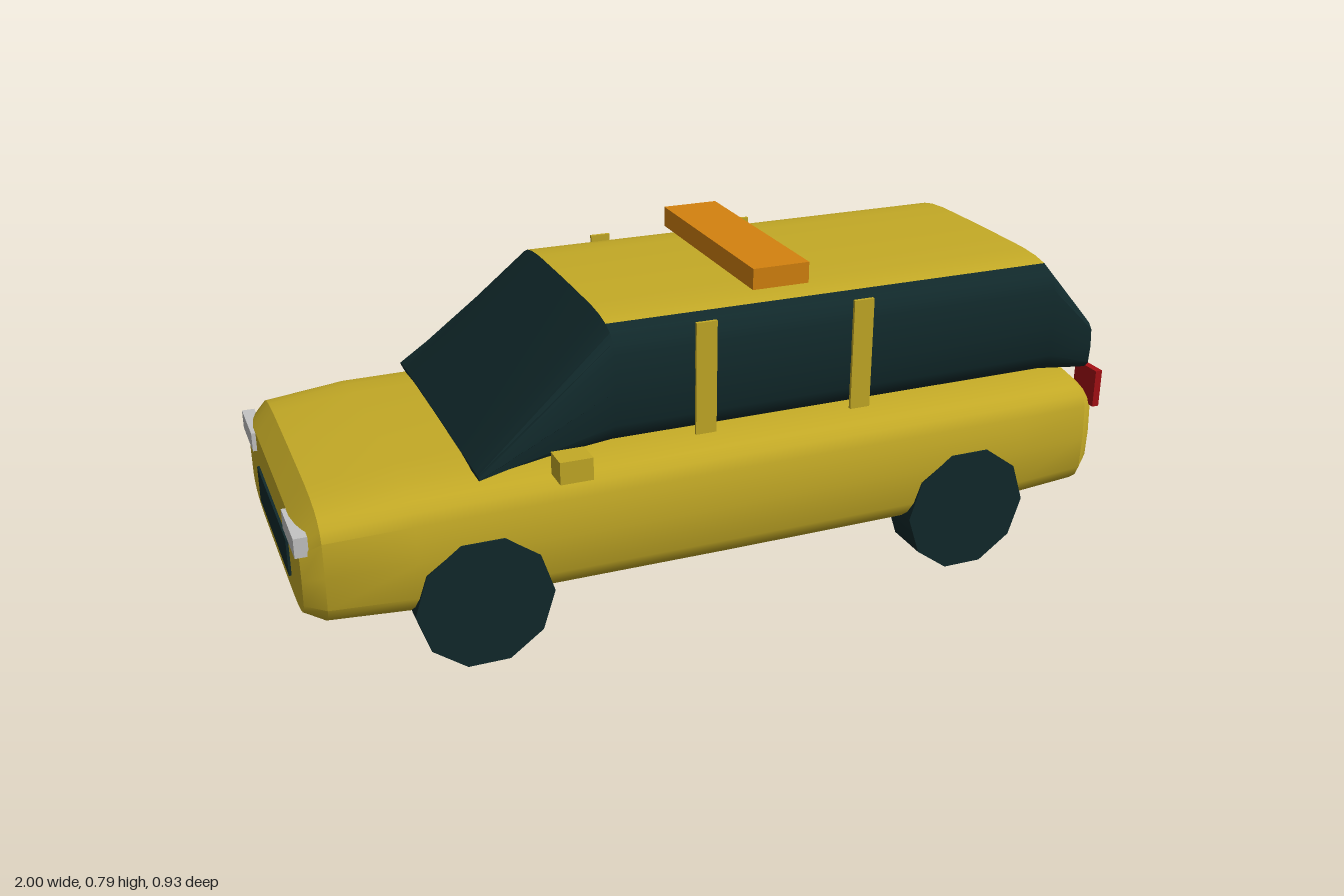
import * as THREE from 'three';
import { toCreasedNormals } from 'three/addons/utils/BufferGeometryUtils.js';

const SEGMENTS = 28;

// Skins rounded-box sections [x, halfWidth, bottom, top] along x.
// Faces for which inSecond(row, column) is true go to the second material.
function loft(sections, inSecond = () => false) {
  const positions = [];
  const groups = [[], []];
  const squash = (v) => Math.sign(v) * Math.abs(v) ** 0.4;
  for (const [x, w, y0, y1] of sections) {
    for (let j = 0; j < SEGMENTS; j++) {
      const t = (j / SEGMENTS) * Math.PI * 2;
      positions.push(x, (y0 + y1) / 2 + squash(Math.sin(t)) * (y1 - y0) / 2, squash(Math.cos(t)) * w);
    }
  }
  const last = sections.length - 1;
  const startCentre = positions.length / 3;
  for (const [x, , y0, y1] of [sections[0], sections[last]]) positions.push(x, (y0 + y1) / 2, 0);
  for (let j = 0; j < SEGMENTS; j++) {
    const k = (j + 1) % SEGMENTS;
    for (let i = 0; i < last; i++) {
      const a = i * SEGMENTS, b = a + SEGMENTS;
      groups[inSecond(i, j) ? 1 : 0].push(a + j, b + j, b + k, a + j, b + k, a + k);
    }
    const e = last * SEGMENTS;
    groups[0].push(startCentre, j, k, startCentre + 1, e + k, e + j);
  }
  const geometry = new THREE.BufferGeometry();
  geometry.setAttribute('position', new THREE.Float32BufferAttribute(positions, 3));
  geometry.setIndex([...groups[0], ...groups[1]]);
  geometry.addGroup(0, groups[0].length, 0);
  geometry.addGroup(groups[0].length, groups[1].length, 1);
  return toCreasedNormals(geometry, 0.55);
}

export function createModel() {
  const car = new THREE.Group();
  car.name = 'car';

  const material = (name, color) => {
    const m = new THREE.MeshStandardMaterial({ color });
    m.name = name;
    return m;
  };
  const yellow = material('yellow paint', 0xc4aa26);
  const dark = material('dark glass and rubber', 0x11292b);
  const orange = material('orange lamp', 0xd4820f);
  const red = material('red lamp', 0xa61014);
  const silver = material('silver lamp', 0xc4c4c4);

  const add = (name, geometry, mat) => {
    const mesh = new THREE.Mesh(geometry, mat);
    mesh.name = name;
    car.add(mesh);
    return mesh;
  };
  // Box given by its lower and upper limits
  const box = (name, mat, [x0, x1], [y0, y1], [z0, z1]) => {
    const mesh = add(name, new THREE.BoxGeometry(x1 - x0, y1 - y0, z1 - z0), mat);
    mesh.position.set((x0 + x1) / 2, (y0 + y1) / 2, (z0 + z1) / 2);
  };

  // Lower body, nose towards -x
  add('body', loft([
    [-0.99, 0.355, 0.15, 0.37],
    [-0.945, 0.382, 0.127, 0.415],
    [-0.75, 0.4, 0.118, 0.433],
    [0, 0.402, 0.116, 0.438],
    [0.75, 0.4, 0.118, 0.436],
    [0.94, 0.386, 0.126, 0.428],
    [0.985, 0.346, 0.15, 0.392],
  ]), [yellow, yellow]);

  // Glass cabin with the painted roof panel on its middle stretch
  add('cabin', loft([
    [-0.6, 0.368, 0.425, 0.435],
    [-0.28, 0.346, 0.425, 0.729],
    [0.85, 0.344, 0.425, 0.728],
    [0.96, 0.353, 0.427, 0.585],
  ], (i, j) => i === 1 && j >= 4 && j <= 9), [dark, yellow]);

  // Roof light bar and grille
  box('roofLight', orange, [0.08, 0.22], [0.74, 0.79], [-0.27, 0.27]);
  box('grille', dark, [-0.996, -0.987], [0.195, 0.285], [-0.2, 0.2]);

  // Parts mirrored left and right
  for (const [side, s] of [['left', 1], ['right', -1]]) {
    const span = (a, b) => (s > 0 ? [a, b] : [-b, -a]);
    box(side + 'Headlight', silver, [-1, -0.97], [0.32, 0.366], span(0.212, 0.362));
    box(side + 'TailLight', red, [0.978, 0.996], [0.345, 0.44], span(0.277, 0.362));
    box(side + 'Mirror', yellow, [-0.45, -0.375], [0.435, 0.487], span(0.402, 0.464));
    for (const x of [-0.067, 0.323]) {
      box(side + 'Pillar', yellow, [x - 0.025, x + 0.025], [0.445, 0.712], span(0.344, 0.352));
    }
    for (const [end, x] of [['Front', -0.607], ['Rear', 0.603]]) {
      const tyre = new THREE.CylinderGeometry(0.1577, 0.1577, 0.112, 10, 1, false, Math.PI / 2);
      tyre.rotateX(Math.PI / 2);
      add(side + end + 'Wheel', tyre, dark).position.set(x, 0.15, s * 0.347);
    }
  }
  return car;
}
